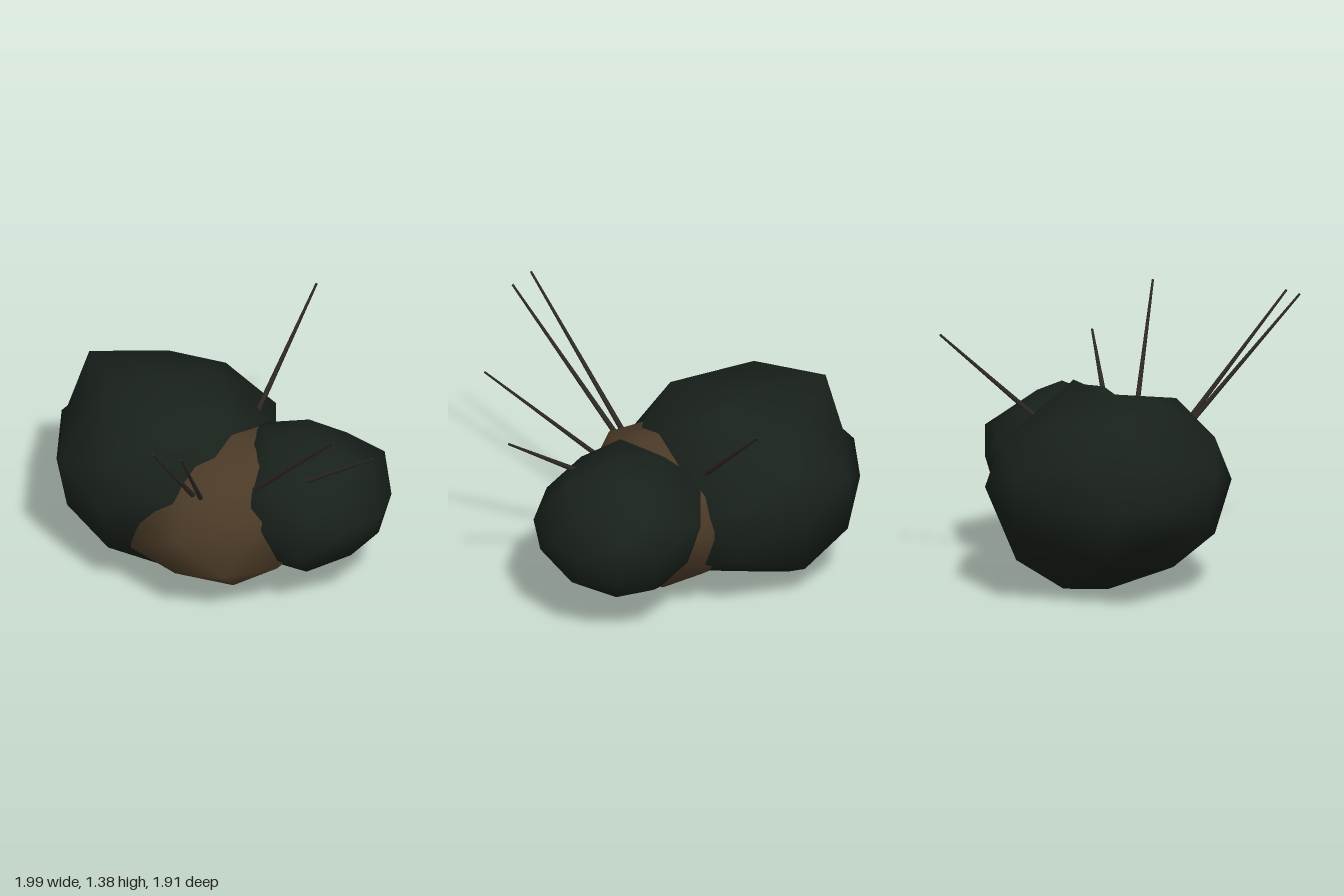
import * as THREE from 'three';
import { mergeVertices } from 'three/addons/utils/BufferGeometryUtils.js';

const V = (a) => new THREE.Vector3(...a);

// Repeatable uneven value in -1..1 for a direction
const wobble = (d, seed) => {
  const s = Math.sin(d.x * 12.9 + d.y * 78.2 + d.z * 37.7 + seed) * 437.5;
  return (s - Math.floor(s)) * 2 - 1;
};

// Lumpy squashed ball: wobbled icosphere, with chosen corners moved to set points
function clump(name, color, center, radius, height, seed, corners) {
  const ball = new THREE.IcosahedronGeometry(1, 1);
  ball.deleteAttribute('normal');
  ball.deleteAttribute('uv');
  const geo = mergeVertices(ball, 1e-3);
  const pos = geo.attributes.position;
  const c = V(center);
  const d = new THREE.Vector3();
  for (let i = 0; i < pos.count; i++) {
    d.fromBufferAttribute(pos, i);
    const p = d.clone().multiply(V([radius, height, radius])).add(c);
    // keep the lowest and highest points steady
    p.y += wobble(d, seed) * 0.05 * radius * (1 - d.y ** 4);
    for (const [dir, target] of corners) {
      if (d.distanceTo(V(dir)) < 0.1) p.copy(V(target));
    }
    pos.setXYZ(i, p.x, p.y, p.z);
  }
  geo.computeVertexNormals();
  const mesh = new THREE.Mesh(geo, new THREE.MeshStandardMaterial({ color }));
  mesh.name = name;
  return mesh;
}

// Thin tapering spine from base to tip, its root sunk a little into the clump
function spine(base, tip) {
  const b = V(base), t = V(tip);
  const dir = t.clone().sub(b).normalize();
  b.addScaledVector(dir, -0.05);
  const geo = new THREE.CylinderGeometry(0.006, 0.015, b.distanceTo(t), 6);
  const mesh = new THREE.Mesh(geo, new THREE.MeshStandardMaterial({ color: 0x2d2824 }));
  mesh.position.copy(b).add(t).multiplyScalar(0.5);
  mesh.quaternion.setFromUnitVectors(new THREE.Vector3(0, 1, 0), dir);
  return mesh;
}

export function createModel() {
  const model = new THREE.Group();
  model.name = 'spinyClumps';

  // Brown core
  model.add(clump('core', 0x4b3a27, [0.1, 0.48, -0.05], 0.5, 0.4, 2, [
    [[0, -0.53, 0.85], [0.09, 0.3, 0.45]],
    [[-0.5, -0.31, 0.81], [-0.22, 0.31, 0.39]],
    [[0.5, -0.31, 0.81], [0.33, 0.31, 0.36]],
    [[0.81, -0.5, 0.31], [0.52, 0.32, 0.15]],
    [[0.85, 0, 0.53], [0.46, 0.6, 0.18]],
    [[0.5, 0.31, 0.81], [0.3, 0.58, 0.29]],
    [[0.81, 0.5, 0.31], [0.4, 0.67, 0.06]],
    [[-0.31, -0.81, 0.5], [-0.1, 0.08, 0.14]],
    [[0.31, -0.81, 0.5], [0.27, 0.14, 0.18]],
    [[0.31, -0.81, -0.5], [0.2, 0.09, -0.25]],
    [[0, -1, 0], [0.08, 0.11, -0.05]],
  ]));

  // Large green clump
  model.add(clump('largeClump', 0x19211b, [-0.34, 0.53, -0.13], 0.65, 0.52, 5, [
    // sides
    [[-1, 0, 0], [-1, 0.57, -0.15]],
    [[0, 0, 1], [-0.34, 0.57, 0.51]],
    [[0, 0, -1], [-0.34, 0.57, -0.77]],
    [[-0.85, 0, 0.53], [-0.84, 0.54, 0.13]],
    [[-0.85, 0, -0.53], [-0.86, 0.54, -0.45]],
    [[0.85, 0, -0.53], [0.12, 0.53, -0.43]],
    [[-0.5, -0.31, 0.81], [-0.64, 0.4, 0.35]],
    [[0.5, -0.31, 0.81], [-0.08, 0.42, 0.3]],
    // top
    [[0, 1, 0], [-0.34, 1.04, -0.14]],
    [[-0.53, 0.85, 0], [-0.83, 1.0, -0.15]],
    [[-0.81, 0.5, 0.31], [-0.83, 0.77, 0.06]],
    [[-0.81, 0.5, -0.31], [-0.83, 0.76, -0.33]],
    [[-0.31, 0.81, 0.5], [-0.55, 1.04, 0.1]],
    [[0.31, 0.81, 0.5], [-0.14, 0.96, 0.25]],
    [[0.31, 0.81, -0.5], [-0.12, 1.07, -0.28]],
    [[0.53, 0.85, 0], [0.05, 0.94, -0.13]],
    [[0.81, 0.5, -0.31], [0.14, 0.77, -0.33]],
    // underside
    [[-0.81, -0.5, 0.31], [-0.94, 0.37, -0.01]],
    [[-0.81, -0.5, -0.31], [-0.78, 0.24, -0.2]],
    [[-0.53, -0.85, 0], [-0.54, 0.16, -0.13]],
    [[-0.31, -0.81, -0.5], [-0.47, 0.05, -0.38]],
    [[-0.31, -0.81, 0.5], [-0.53, 0.16, 0.18]],
    [[0.31, -0.81, -0.5], [-0.13, 0.19, -0.45]],
    [[0, -0.53, -0.85], [-0.43, 0.2, -0.62]],
  ]));

  // Small green clump
  model.add(clump('smallClump', 0x19211b, [0.46, 0.54, -0.23], 0.43, 0.375, 9, [
    [[1, 0, 0], [0.89, 0.55, -0.24]],
    [[0.53, 0.85, 0], [0.75, 0.86, -0.22]],
    [[0.81, 0.5, 0.31], [0.79, 0.69, -0.08]],
    [[0.81, 0.5, -0.31], [0.79, 0.76, -0.35]],
    [[-0.31, 0.81, 0.5], [0.34, 0.92, -0.06]],
    [[0.31, 0.81, 0.5], [0.59, 0.8, -0.01]],
    [[0.31, 0.81, -0.5], [0.52, 0.87, -0.38]],
    [[-0.81, 0.5, 0.31], [0.08, 0.75, -0.12]],
    [[-0.81, 0.5, -0.31], [0.05, 0.75, -0.38]],
    [[-0.53, 0.85, 0], [0.19, 0.86, -0.23]],
    [[0.5, 0.31, -0.81], [0.67, 0.66, -0.63]],
    [[-0.5, 0.31, -0.81], [0.21, 0.66, -0.64]],
    [[0.5, -0.31, 0.81], [0.66, 0.42, 0.16]],
    [[0.81, -0.5, 0.31], [0.83, 0.42, -0.08]],
    [[0.53, -0.85, 0], [0.73, 0.27, -0.22]],
  ]));

  // Spines
  const spines = new THREE.Group();
  spines.name = 'spines';
  [
    [[0.10, 0.68, 0.28], [0.28, 1.39, 0.95]],
    [[0.14, 0.68, 0.28], [0.42, 1.38, 0.90]],
    [[0.34, 0.71, 0.10], [0.95, 1.33, 0.28]],
    [[0.60, 0.80, -0.02], [0.99, 1.07, -0.03]],
    [[0.035, 0.81, -0.42], [0.043, 1.29, -0.95]],
  ].forEach(([base, tip], i) => {
    const s = spine(base, tip);
    s.name = `spine${i + 1}`;
    spines.add(s);
  });
  model.add(spines);
  return model;
}
